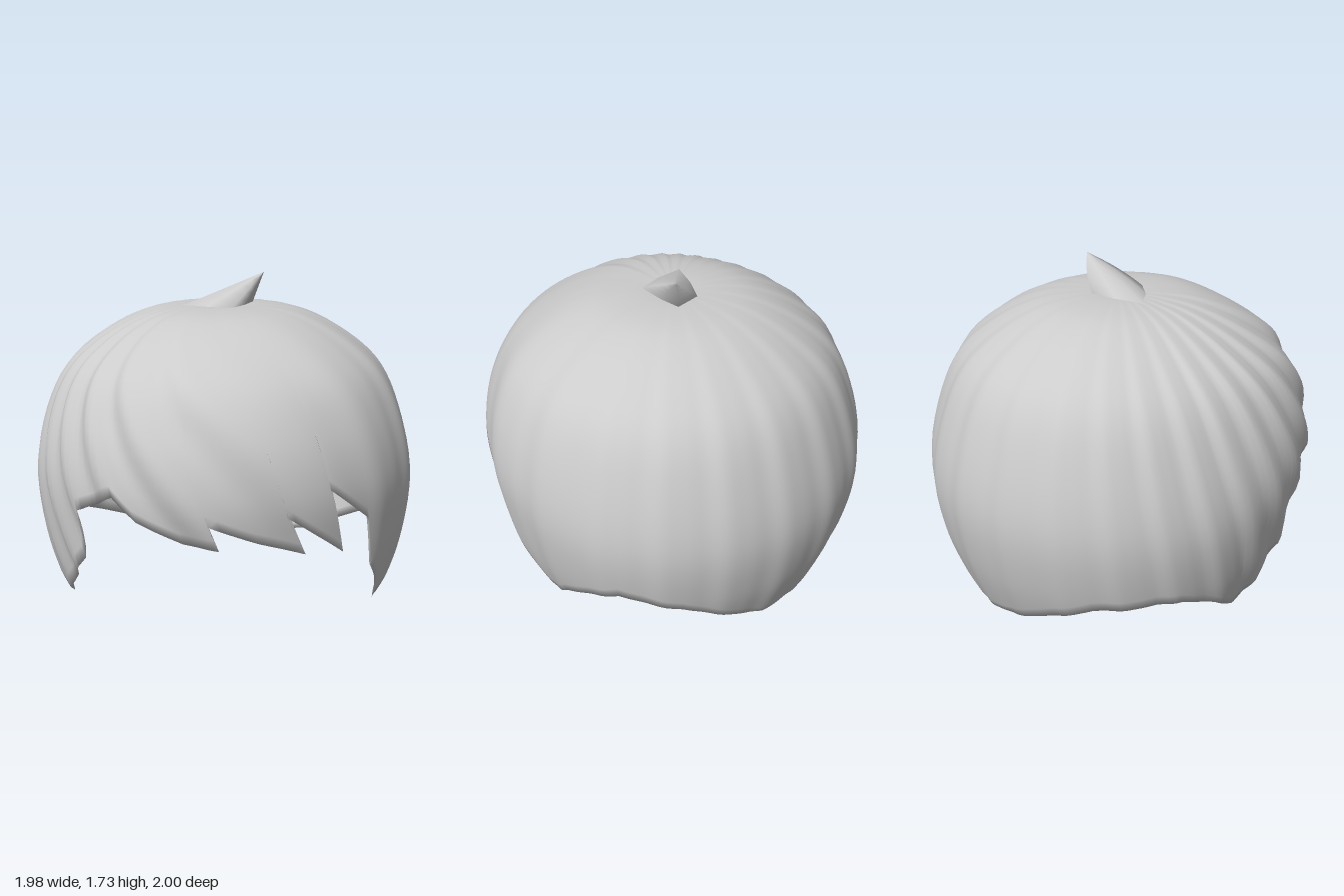
import * as THREE from 'three';

const material = new THREE.MeshStandardMaterial({ color: 0xcccccc, side: THREE.DoubleSide });

// Radius and height from crown to nape
const profile = new THREE.CatmullRomCurve3([
  [0, 1.57], [0.2, 1.575], [0.4, 1.545], [0.62, 1.44], [0.8, 1.28], [0.92, 1.02],
  [0.985, 0.7], [0.95, 0.38], [0.87, 0.12], [0.81, -0.02],
].map(([r, y]) => new THREE.Vector3(r, y, 0)));

// Hem corners: angle at the crown, angle at the hem (0 = front, + = left), height
const hem = [
  [-3.14159, -3.14159, 0.005], [-2.93, -2.9, 0.02], [-2.6, -2.52, 0.11], [-2.2, -2.03, 0.3],
  [-1.95, -1.7, 0.33], [-1.85, -1.57, 0.33], [-1.68, -1.34, 0.23], [-1.54, -1.17, 0.13],
  [-1.46, -1.09, 0.14], [-1.33, -0.94, 0.25], [-1.15, -0.74, 0.45], [-1.08, -0.72, 0.71],
  [-0.87, -0.49, 0.82], [-0.76, -0.37, 0.72], [-0.55, -0.15, 0.63], [-0.4, 0.02, 0.61],
  [-0.33, -0.03, 0.73], [-0.22, 0.2, 0.64], [-0.1, 0.44, 0.56], [0.02, 0.33, 0.76],
  [0.24, 0.66, 0.53], [0.36, 0.55, 0.86], [0.55, 0.81, 0.67], [0.75, 0.89, 0.4],
  [1.02, 1.13, 0.12], [1.12, 1.22, 0.12], [1.29, 1.34, 0.23], [1.54, 1.57, 0.34],
  [1.68, 1.7, 0.39], [2.02, 2.03, 0.32], [2.55, 2.55, 0.07], [2.9, 2.9, 0.01],
  [3.14159, 3.14159, 0.005],
];

// Position along the profile where it reaches a height
function profileAt(y) {
  let lo = 0.2, hi = 1;
  for (let i = 0; i < 24; i++) {
    const mid = (lo + hi) / 2;
    if (profile.getPoint(mid).y > y) lo = mid; else hi = mid;
  }
  return lo;
}

// Point on the hair, pushed inward by depth for the lining
function surfacePoint(angle, s, depth) {
  const p = profile.getPoint(s);
  const facing = Math.cos(angle);
  const front = Math.max(0, facing);
  const back = Math.max(0, -facing);
  const upper = THREE.MathUtils.smoothstep(p.y, 0.6, 1.1);
  const curl = 1 - THREE.MathUtils.smoothstep(p.y, 0.5, 0.85);
  // Locks sweep diagonally across the fringe and hang straight at the back
  const sweep = Math.exp(-(((angle + 0.5) / 1.1) ** 2));
  const wave = 20 * angle + 14 * sweep * p.y;
  const locks = (0.005 + 0.008 * sweep) * (Math.sin(wave) + 0.3 * Math.sin(2 * wave))
    * Math.min(1, (s * 2) ** 2);
  const r = p.x * (1 + front * (0.055 * upper - 0.025 * curl) + 0.012 * back + locks) * (1 - depth);
  const y = p.y + locks * 0.8 * upper - depth * Math.max(0, p.y - 0.5);
  return [r * Math.sin(angle), y, r * Math.cos(angle)];
}

// Outer hair from crown to hem, then the lining from hem back to crown
function hairShell() {
  const columns = [];
  for (let i = 0; i < hem.length - 1; i++) {
    const [a, b] = [hem[i], hem[i + 1]];
    const steps = Math.max(4, Math.ceil((b[0] - a[0]) / 0.03));
    for (let k = 0; k < steps; k++) columns.push(a.map((v, j) => v + (b[j] - v) * k / steps));
  }
  const rows = 36, positions = [], index = [];
  for (const [u, angle, y] of columns) {
    const end = profileAt(y);
    for (let j = 0; j <= 2 * rows; j++) {
      const t = Math.max(1 - Math.abs(j / rows - 1), 0.002);
      const depth = j > rows ? 0.055 * THREE.MathUtils.smoothstep(1 - t, -0.1, 0.3) : 0;
      positions.push(...surfacePoint(u + (angle - u) * t * t, end * t, depth));
    }
  }
  const n = columns.length, w = 2 * rows + 1;
  for (let i = 0; i < n; i++) {
    for (let j = 0; j < 2 * rows; j++) {
      const a = i * w + j, b = ((i + 1) % n) * w + j;
      index.push(a, a + 1, b, b, a + 1, b + 1);
    }
  }
  return toGeometry(positions, index);
}

// Pointed tuft: a base outline narrowing toward a leaning tip
function tuftGeometry() {
  const base = [[-0.3, 0.08], [-0.15, 0.15], [0.01, 0.18], [0.09, 0.03], [0.13, -0.08], [-0.03, -0.13], [-0.18, -0.03]];
  const tip = [0.2, 1.73, -0.1];
  const rings = 6, n = base.length, positions = [], index = [];
  for (let j = 0; j <= rings; j++) {
    const t = j / rings;
    for (const [x, z] of base) {
      positions.push(
        x + (tip[0] - x) * t,
        1.54 + (tip[1] - 1.54) * t,
        tip[2] * t + z * (1 - t) * (1 + 0.6 * t),
      );
    }
  }
  for (let j = 0; j < rings; j++) {
    for (let i = 0; i < n; i++) {
      const a = j * n + i, b = j * n + (i + 1) % n;
      index.push(a, b, a + n, b, b + n, a + n);
    }
  }
  return toGeometry(positions, index);
}

function toGeometry(positions, index) {
  const geometry = new THREE.BufferGeometry();
  geometry.setAttribute('position', new THREE.Float32BufferAttribute(positions, 3));
  geometry.setIndex(index);
  geometry.computeVertexNormals();
  return geometry;
}

export function createModel() {
  const group = new THREE.Group();
  group.name = 'hair';
  const add = (name, geometry) => {
    const mesh = new THREE.Mesh(geometry, material);
    mesh.name = name;
    group.add(mesh);
  };
  add('hairShell', hairShell());
  add('crownTuft', tuftGeometry());
  return group;
}
